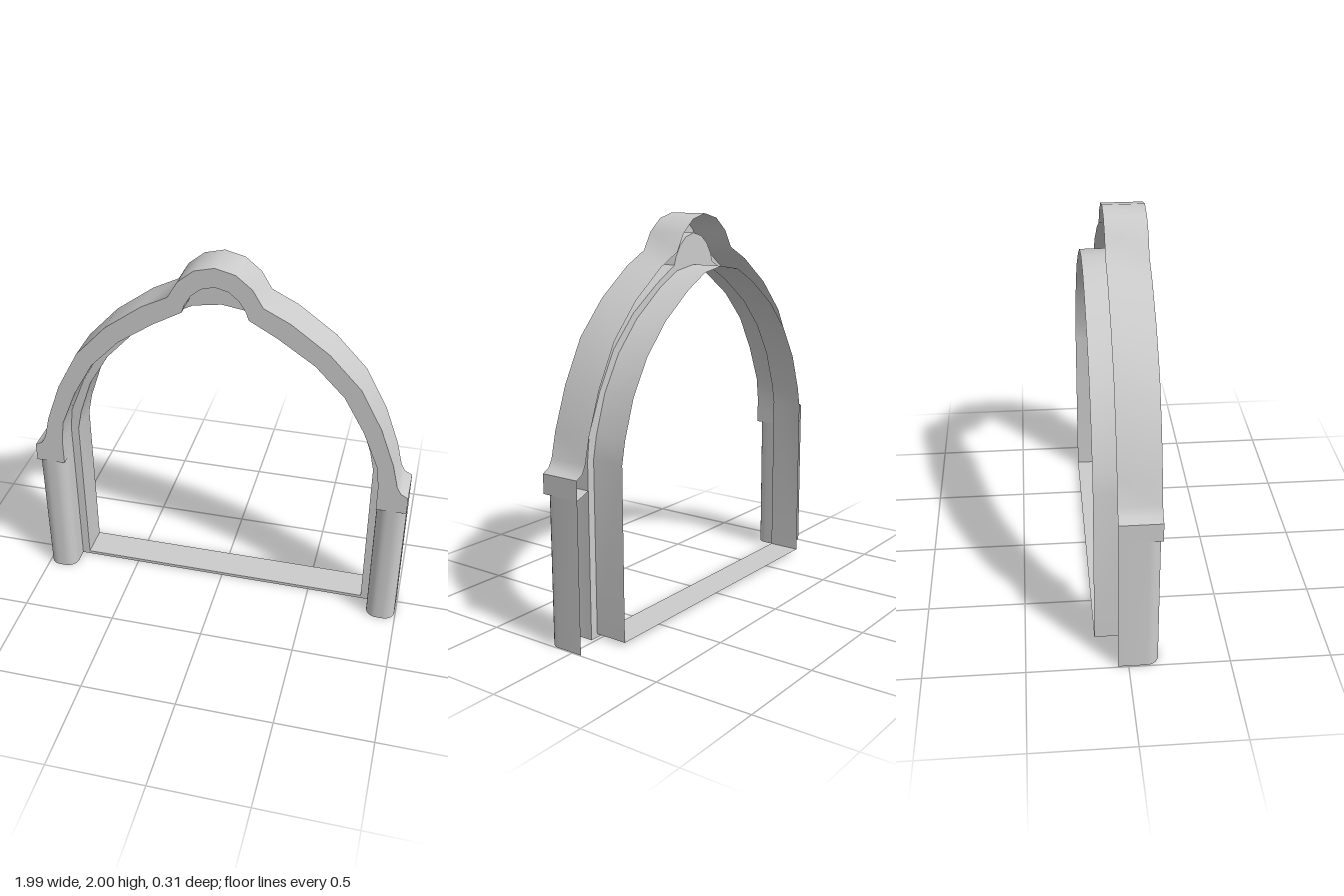
import * as THREE from 'three';
import { toCreasedNormals } from 'three/addons/utils/BufferGeometryUtils.js';

// depths of the arch face, recessed ring, outer wall's rear edge and lining's rear edge
const FRONT = 0.155, RING = 0.018, REAR = -0.052, BACK = -0.155;
const CAP = 0.748;
const material = new THREE.MeshStandardMaterial({ color: 0xcccccc, side: THREE.DoubleSide });

// right halves of the three arch outlines, from springing to crown
const outerHalf = [[0.995, CAP], [0.995, 0.845], [0.957, 0.865], [0.935, 0.905], [0.905, 1.03],
  [0.83, 1.235], [0.717, 1.445], [0.557, 1.615], [0.365, 1.755], [0.232, 1.822],
  [0.18, 1.91], [0.1, 1.975], [0, 2]];
const innerHalf = [[0.84, CAP], [0.84, 0.89], [0.825, 1.01], [0.745, 1.205], [0.64, 1.39],
  [0.49, 1.545], [0.305, 1.67], [0.163, 1.75], [0.15, 1.79], [0.115, 1.845], [0.065, 1.885], [0, 1.902]];
const openingHalf = [[0.798, 0.018], [0.798, 0.89], [0.775, 1.0], [0.71, 1.19], [0.605, 1.365],
  [0.465, 1.515], [0.285, 1.645], [0.145, 1.72], [0, 1.743]];

const mirror = (pts) => pts.map(([x, y]) => [-x, y]).reverse();
// full outline running from right to left over the crown
const whole = (half) => [...half, ...mirror(half).slice(1)];
const vectors = (pts) => pts.map(([x, y]) => new THREE.Vector2(x, y));

// wall following a path in xy, between two depths
function ribbon(pts, z0, z1) {
  const pos = [];
  for (let i = 0; i < pts.length - 1; i++) {
    const [px, py] = pts[i], [qx, qy] = pts[i + 1];
    pos.push(px, py, z0, qx, qy, z0, qx, qy, z1, px, py, z0, qx, qy, z1, px, py, z1);
  }
  const geo = new THREE.BufferGeometry();
  geo.setAttribute('position', new THREE.Float32BufferAttribute(pos, 3));
  return toCreasedNormals(geo, 0.62);
}

// flat face at depth z, with an optional hole
function face(pts, z, hole) {
  const shape = new THREE.Shape(vectors(pts));
  if (hole) shape.holes.push(new THREE.Path(vectors(hole)));
  return new THREE.ShapeGeometry(shape).translate(0, 0, z);
}

export function createModel() {
  const model = new THREE.Group();
  const add = (name, geo) => {
    const mesh = new THREE.Mesh(geo, material);
    mesh.name = name;
    model.add(mesh);
  };

  const outer = whole(outerHalf), inner = whole(innerHalf), opening = whole(openingHalf);
  const innerReversed = inner.slice().reverse();

  // moulded arch, hollow at the back
  add('archFront', face([...outer, ...innerReversed], FRONT));
  add('archOuterWall', ribbon(outer, REAR, FRONT));
  add('archSoffit', ribbon(innerReversed, RING, FRONT));

  // recessed ring inside the arch, and the deep lining with its sill
  add('recessedRing', face([[0.84, 0], ...inner, [-0.84, 0]], RING, opening));
  add('openingLining', ribbon([...opening, opening[0]].reverse(), BACK, RING));

  // columns with rounded front corners; plan y is minus depth
  const r = 0.06, x0 = 0.84, x1 = 0.995, front = -0.15;
  const plan = [[x0, -RING]];
  for (const [cx, start] of [[x0 + r, Math.PI], [x1 - r, Math.PI * 1.5]]) {
    for (let i = 0; i <= 6; i++) {
      const a = start + (i / 6) * Math.PI / 2;
      plan.push([cx + r * Math.cos(a), front + r + r * Math.sin(a)]);
    }
  }
  plan.push([x1, -REAR]);

  // underside of the block on each column, slanting back to the outer wall
  const underside = [[x0, RING], [x1, REAR], [x1, FRONT], [x0, FRONT]];

  for (const side of [1, -1]) {
    const label = side > 0 ? 'left' : 'right';
    const sided = (pts) => (side > 0 ? pts : mirror(pts));
    add(label + 'Column', ribbon(sided(plan), 0, CAP).rotateX(-Math.PI / 2));
    add(label + 'BlockUnderside', face(sided(underside), -CAP).rotateX(Math.PI / 2));
  }
  return model;
}
